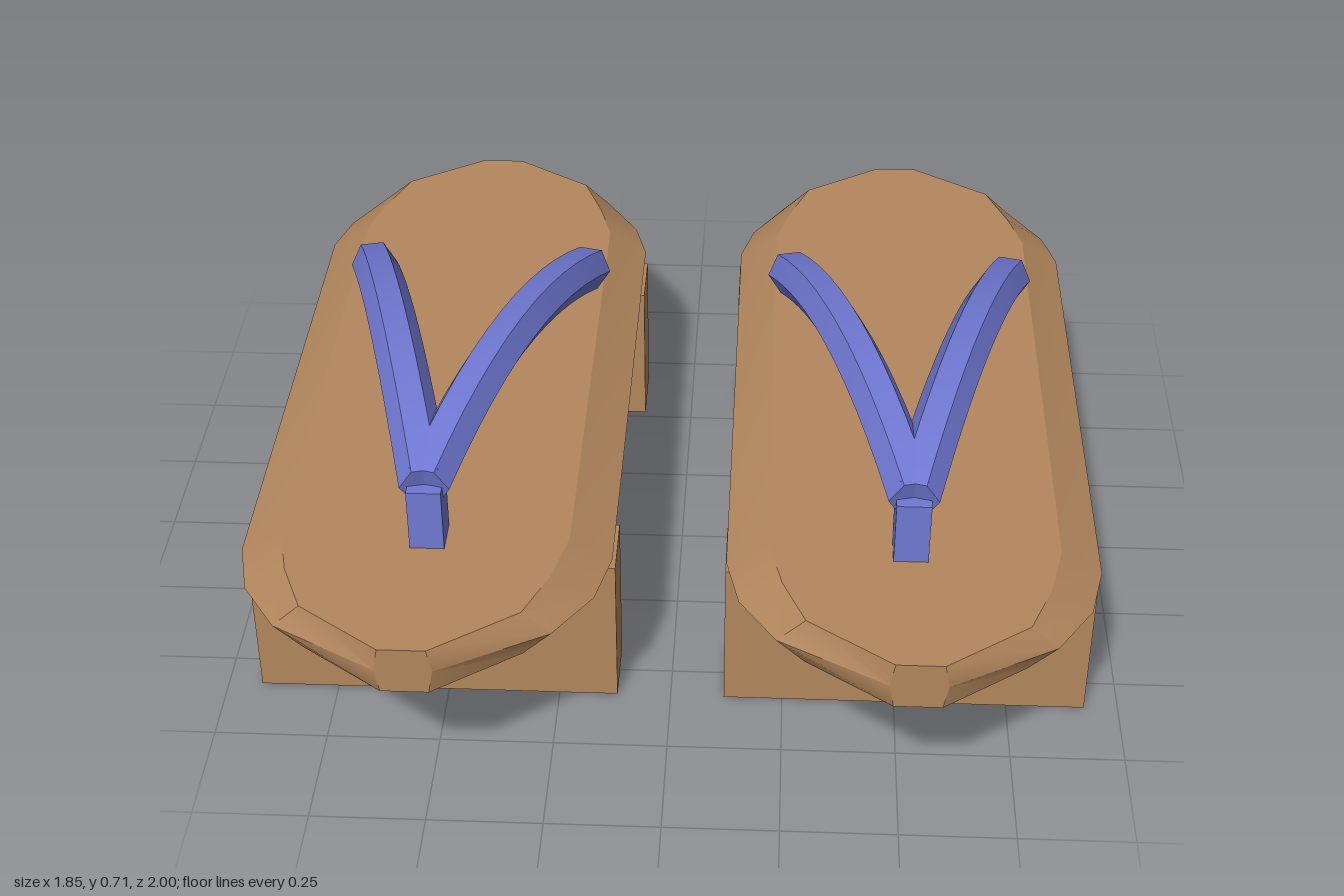
import * as THREE from 'three';
import { toCreasedNormals } from 'three/addons/utils/BufferGeometryUtils.js';

// Skin a run of equal rings (counter-clockwise about the travel direction) and cap both ends
function loft(rings) {
  const n = rings[0].length, last = (rings.length - 1) * n;
  const index = [];
  for (let i = 0; i < rings.length - 1; i++) {
    for (let j = 0; j < n; j++) {
      const a = i * n + j, b = i * n + (j + 1) % n;
      index.push(a, b, b + n, a, b + n, a + n);
    }
  }
  for (let j = 1; j < n - 1; j++) {
    index.push(0, j + 1, j, last, last + j, last + j + 1);
  }
  const geometry = new THREE.BufferGeometry();
  geometry.setAttribute('position', new THREE.Float32BufferAttribute(rings.flat(2), 3));
  geometry.setIndex(index);
  return toCreasedNormals(geometry, 0.5);
}

// Board: hexagonal sections, widest at mid height; [z, half width at rim, half width of flat]
function soleGeometry() {
  const sections = [
    [-1, 0.06, 0.05], [-0.88, 0.29, 0.23], [-0.75, 0.37, 0.28], [-0.64, 0.4, 0.31],
    [0.62, 0.4, 0.31], [0.75, 0.37, 0.28], [0.87, 0.29, 0.23], [1, 0.06, 0.05],
  ];
  const low = 0.36, mid = 0.415, high = 0.47;
  return loft(sections.map(([z, rim, flat]) => [
    [rim, mid, z], [flat, high, z], [-flat, high, z],
    [-rim, mid, z], [-flat, low, z], [flat, low, z],
  ]));
}

// Thong strap: a six-sided bar following an arch from the toe post to the heel side
function strapGeometry(side) {
  const steps = 12, radius = 0.055;
  const up = new THREE.Vector3(0, 1, 0);
  const rings = [];
  for (let i = 0; i <= steps; i++) {
    const t = i / steps, z = 0.635 - 1.03 * t;
    const centre = new THREE.Vector3(side * 0.265 * t, 0.667 - 0.36 * (z - 0.25) ** 2, z);
    const tangent = new THREE.Vector3(side * 0.265, 0.72 * (z - 0.25) * 1.03, -1.03).normalize();
    const across = up.clone().cross(tangent).normalize();
    const over = tangent.clone().cross(across);
    const ring = [];
    for (let j = 0; j < 6; j++) {
      const a = j * Math.PI / 3;
      ring.push(centre.clone()
        .addScaledVector(across, radius * Math.cos(a))
        .addScaledVector(over, radius * Math.sin(a)).toArray());
    }
    rings.push(ring);
  }
  return loft(rings);
}

export function createModel() {
  const wood = new THREE.MeshStandardMaterial({ color: 0xb3875d });
  wood.name = 'wood';
  const cloth = new THREE.MeshStandardMaterial({ color: 0x7179d4 });
  cloth.name = 'blueCloth';

  const add = (parent, name, geometry, material, x = 0, y = 0, z = 0) => {
    const mesh = new THREE.Mesh(geometry, material);
    mesh.name = name;
    mesh.position.set(x, y, z);
    parent.add(mesh);
    return mesh;
  };

  const model = new THREE.Group();
  model.name = 'woodenSandals';

  for (const side of [-1, 1]) {
    const sandal = new THREE.Group();
    sandal.name = side > 0 ? 'leftSandal' : 'rightSandal';
    sandal.position.x = side * 0.522;
    model.add(sandal);

    // Wooden base
    add(sandal, 'sole', soleGeometry(), wood);
    const tooth = new THREE.BoxGeometry(0.805, 0.36, 0.155);
    add(sandal, 'frontTooth', tooth, wood, 0, 0.18, 0.505);
    add(sandal, 'backTooth', tooth, wood, 0, 0.18, -0.598);

    // Thong with its toe post and the knot under the board
    const thong = new THREE.Group();
    thong.name = 'thong';
    thong.position.x = -side * 0.01;
    sandal.add(thong);
    add(thong, 'toePost', new THREE.BoxGeometry(0.074, 0.255, 0.086), cloth, 0, 0.4875, 0.625);
    const knot = add(thong, 'knot', new THREE.SphereGeometry(0.06, 12, 8), cloth, 0, 0.327, 0.628);
    knot.scale.z = 0.85;
    add(thong, 'leftStrap', strapGeometry(1), cloth);
    add(thong, 'rightStrap', strapGeometry(-1), cloth);
  }
  return model;
}
